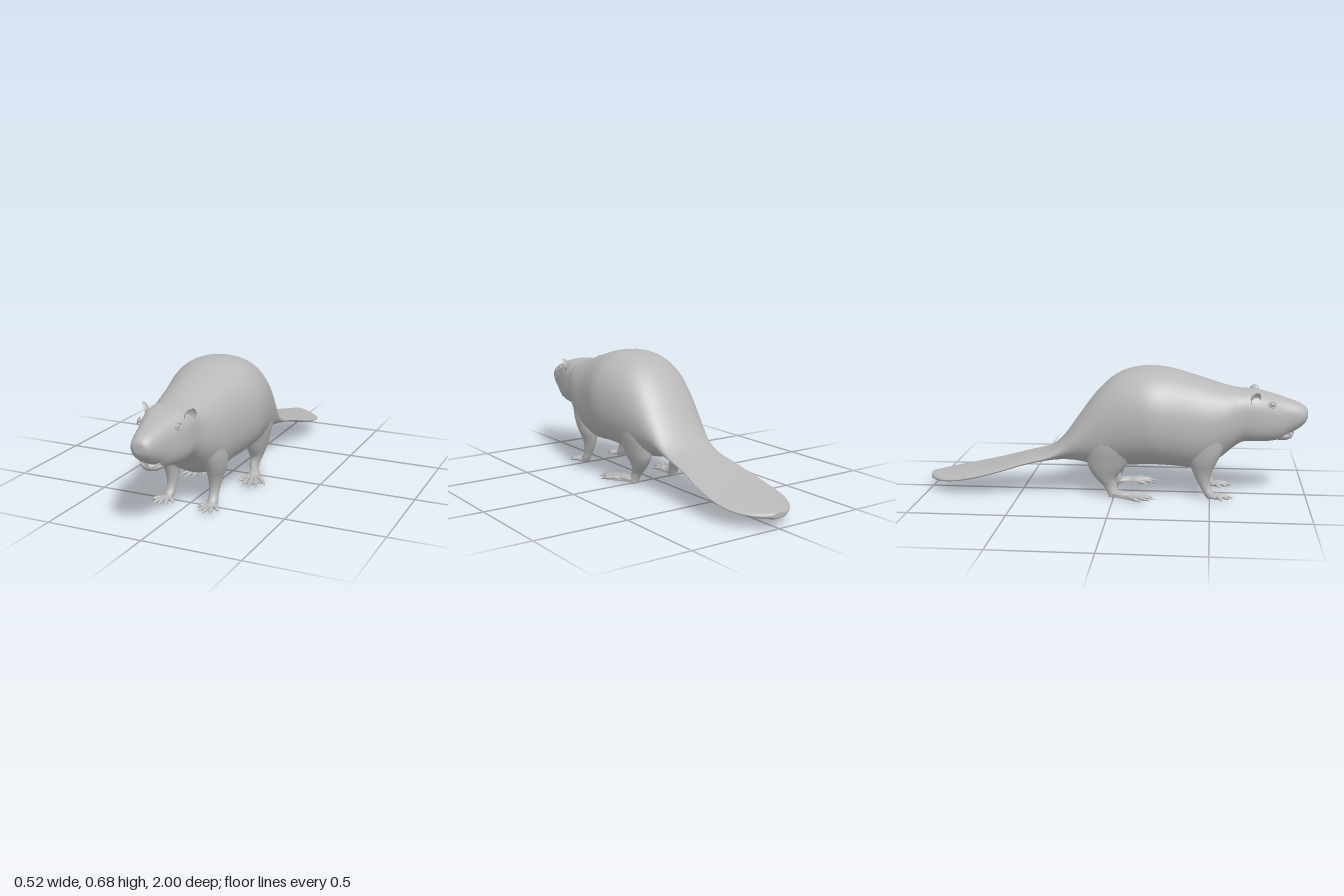
import * as THREE from 'three';

const grey = new THREE.MeshStandardMaterial({ color: 0xb8b8b8, side: THREE.DoubleSide });
grey.name = 'grey';

// Skin a list of rings (arrays of [x, y, z]) with smooth normals and closed ends
function loft(rings) {
  const n = rings[0].length, pos = rings.flat(2), idx = [];
  for (let i = 0; i < rings.length - 1; i++) {
    for (let j = 0; j < n; j++) {
      const a = i * n + j, b = i * n + (j + 1) % n;
      idx.push(a, a + n, b, b, a + n, b + n);
    }
  }
  [0, rings.length - 1].forEach((r) => {
    const c = pos.length / 3;
    for (let k = 0; k < 3; k++) pos.push(rings[r].reduce((s, p) => s + p[k], 0) / n);
    for (let j = 0; j < n; j++) {
      const a = r * n + j, b = r * n + (j + 1) % n;
      idx.push(c, ...(r ? [b, a] : [a, b]));
    }
  });
  const g = new THREE.BufferGeometry();
  g.setAttribute('position', new THREE.Float32BufferAttribute(pos, 3));
  g.setIndex(idx);
  g.computeVertexNormals();
  return g;
}

// Catmull-Rom refinement of a table of rows
function refine(rows, steps) {
  const out = [], last = rows.length - 1;
  for (let i = 0; i < last; i++) {
    const p = rows[Math.max(i - 1, 0)], q = rows[i], r = rows[i + 1], s = rows[Math.min(i + 2, last)];
    for (let k = 0; k < steps; k++) {
      const t = k / steps;
      out.push(q.map((v, c) => v + 0.5 * t * (r[c] - p[c] + t * (2 * p[c] - 5 * v + 4 * r[c] - s[c]
        + t * (3 * (v - r[c]) + s[c] - p[c])))));
    }
  }
  return [...out, rows[last]];
}

const ring = (n, fn) => Array.from({ length: n }, (_, j) => {
  const a = (j / n) * Math.PI * 2;
  return fn(Math.cos(a), Math.sin(a));
});
const power = (v, e) => Math.sign(v) * Math.abs(v) ** e;

// Upright limb from rows of y, centre x, centre z, radius x, radius z
const limb = (rows) => loft(refine(rows, 3).map(([y, cx, cz, rx, rz]) =>
  ring(20, (c, s) => [cx + c * rx, y, cz - s * rz])));

// Knuckled toe with a pointed claw, running between two [x, z] points
function toe([ax, az], [bx, bz], size) {
  const dx = bx - ax, dz = bz - az, len = Math.hypot(dx, dz);
  const rows = [[0, 0.014, 0.9], [0.3, 0.019, 1], [0.5, 0.017, 0.8], [0.68, 0.016, 1], [0.8, 0.013, 0.6], [1, 0.007, 0.08]];
  return loft(refine(rows, 2).map(([t, y, r]) => ring(10, (c, s) => [
    ax + dx * t - (dz / len) * c * r * size, y + s * r * size * 0.85, az + dz * t + (dx / len) * c * r * size])));
}

const ball = (rx, ry, rz, x, y, z) => new THREE.SphereGeometry(1, 20, 14).scale(rx, ry, rz).translate(x, y, z);

function mirror(geo) {
  const g = geo.clone().scale(-1, 1, 1);
  if (!g.index) g.setIndex([...Array(g.attributes.position.count).keys()]);
  const a = g.index.array;
  for (let i = 0; i < a.length; i += 3) [a[i], a[i + 1]] = [a[i + 1], a[i]];
  g.computeVertexNormals();
  return g;
}

export function createModel() {
  const model = new THREE.Group();
  model.name = 'beaver';
  const add = (name, geo) => {
    const m = new THREE.Mesh(geo, grey);
    m.name = name;
    model.add(m);
  };
  const pair = (name, geo) => {
    add(name + 'Left', geo);
    add(name + 'Right', mirror(geo));
  };

  // Head, body and flat tail in one skin: z, bottom, top, half width, squareness
  const headAndBody = [
    [0.998, 0.415, 0.46, 0.025, 2], [0.985, 0.39, 0.478, 0.046, 2.1], [0.95, 0.36, 0.498, 0.063, 2.2],
    [0.9, 0.332, 0.516, 0.078, 2.3], [0.86, 0.305, 0.529, 0.09, 2.4], [0.8, 0.295, 0.546, 0.11, 2.6],
    [0.74, 0.294, 0.56, 0.125, 2.8], [0.68, 0.294, 0.565, 0.131, 2.7], [0.645, 0.28, 0.568, 0.138, 2.5],
    [0.6, 0.245, 0.577, 0.162, 2.3], [0.55, 0.2, 0.59, 0.182, 2.2], [0.48, 0.155, 0.612, 0.2, 2.2],
    [0.4, 0.145, 0.636, 0.214, 2.2], [0.3, 0.155, 0.664, 0.238, 2.2], [0.2, 0.16, 0.677, 0.258, 2.2],
    [0.1, 0.155, 0.668, 0.246, 2.2],
  ];
  const rumpAndTail = [
    [0, 0.148, 0.63, 0.225, 2.2], [-0.1, 0.15, 0.54, 0.2, 2.2], [-0.2, 0.17, 0.405, 0.175, 2.1],
    [-0.28, 0.176, 0.295, 0.157, 2], [-0.35, 0.174, 0.235, 0.153, 2], [-0.42, 0.164, 0.208, 0.156, 2],
    [-0.5, 0.145, 0.186, 0.165, 2], [-0.6, 0.115, 0.156, 0.18, 2], [-0.7, 0.087, 0.131, 0.188, 2],
    [-0.8, 0.065, 0.11, 0.184, 2], [-0.87, 0.054, 0.098, 0.165, 2], [-0.93, 0.046, 0.09, 0.128, 2],
    [-0.97, 0.044, 0.086, 0.085, 2], [-0.993, 0.046, 0.084, 0.05, 2], [-1, 0.052, 0.079, 0.03, 2],
  ];
  add('bodyAndTail', loft(refine([...headAndBody, ...rumpAndTail], 3).map(([z, lo, hi, w, n]) =>
    ring(40, (c, s) => [w * power(c, 2 / n), (lo + hi) / 2 + ((hi - lo) / 2) * power(s, 2 / n), z]))));

  // Nose, jaw, lip and front teeth
  add('nose', ball(0.045, 0.038, 0.045, 0, 0.442, 0.954));
  add('lowerJaw', ball(0.054, 0.027, 0.06, 0, 0.324, 0.867));
  const lip = [[-0.052, 0.347, 0.89], [-0.032, 0.332, 0.911], [0, 0.328, 0.924], [0.032, 0.332, 0.911], [0.052, 0.347, 0.89]];
  add('lip', new THREE.TubeGeometry(new THREE.CatmullRomCurve3(lip.map((p) => new THREE.Vector3(...p))), 20, 0.005, 8));
  pair('tooth', new THREE.BoxGeometry(0.008, 0.034, 0.008).translate(0.0045, 0.349, 0.927));
  pair('nostril', new THREE.TorusGeometry(0.007, 0.003, 6, 14, 4.2).rotateY(0.6).translate(0.025, 0.432, 0.988));

  // Eyes with lids, and cupped ears opening outward
  pair('eye', ball(0.009, 0.012, 0.014, 0.1, 0.502, 0.81));
  pair('eyelid', new THREE.TorusGeometry(0.016, 0.004, 8, 20).scale(1.15, 0.95, 1).rotateY(1.25).rotateZ(0.35)
    .translate(0.104, 0.502, 0.81));
  pair('ear', new THREE.SphereGeometry(1, 20, 8, 0, Math.PI * 2, 0, Math.PI * 0.55).scale(0.03, 0.02, 0.037)
    .rotateX(-Math.PI / 2).rotateY(1).rotateZ(-0.3).translate(0.119, 0.531, 0.725));

  // Legs
  pair('frontLeg', limb([
    [0.36, 0.115, 0.49, 0.07, 0.1], [0.27, 0.12, 0.48, 0.066, 0.088], [0.2, 0.125, 0.465, 0.05, 0.07],
    [0.15, 0.12, 0.46, 0.037, 0.052], [0.1, 0.117, 0.465, 0.028, 0.035], [0.06, 0.118, 0.48, 0.024, 0.027],
    [0.03, 0.12, 0.498, 0.026, 0.03], [0.006, 0.122, 0.51, 0.024, 0.026],
  ]));
  pair('hindLeg', limb([
    [0.36, 0.125, -0.02, 0.085, 0.13], [0.27, 0.122, -0.02, 0.083, 0.13], [0.2, 0.125, -0.03, 0.063, 0.11],
    [0.15, 0.125, -0.04, 0.049, 0.09], [0.1, 0.122, -0.042, 0.035, 0.053], [0.06, 0.12, -0.02, 0.025, 0.037],
    [0.025, 0.125, -0.004, 0.024, 0.03], [0.004, 0.13, 0, 0.024, 0.028],
  ]));

  // Front paws with five spread toes
  pair('frontPaw', ball(0.034, 0.014, 0.036, 0.124, 0.016, 0.53));
  const frontTips = [[0.066, 0.555], [0.09, 0.6], [0.122, 0.622], [0.156, 0.608], [0.188, 0.57]];
  frontTips.forEach((tip, i) => pair('frontToe' + (i + 1), toe([0.108 + i * 0.008, 0.53], tip, 0.011)));

  // Webbed hind feet turned outward
  const hindTips = [[0.1, 0.165], [0.145, 0.21], [0.185, 0.222], [0.22, 0.2], [0.25, 0.15]];
  pair('hindFoot', ball(0.03, 0.019, 0.065, 0, 0.019, 0.035).rotateY(0.38).translate(0.127, 0, 0));
  hindTips.forEach((tip, i) => pair('hindToe' + (i + 1), toe([0.13 + i * 0.008, 0.055], tip, 0.011)));
  const web = new THREE.Shape();
  web.moveTo(0.15, -0.01);
  web.lineTo(0.11, 0.0);
  hindTips.forEach(([x, z], i) => {
    const px = 0.15 + (x - 0.15) * 0.82, pz = 0.04 + (z - 0.04) * 0.82;
    if (i === 0) web.lineTo(px, pz);
    else {
      const [lx, lz] = hindTips[i - 1];
      web.quadraticCurveTo(0.15 + ((x + lx) / 2 - 0.15) * 0.6, 0.04 + ((z + lz) / 2 - 0.04) * 0.6, px, pz);
    }
  });
  web.closePath();
  pair('hindWeb', new THREE.ExtrudeGeometry(web, { depth: 0.009, bevelEnabled: false, curveSegments: 6 })
    .rotateX(Math.PI / 2).translate(0, 0.015, 0));

  return model;
}
